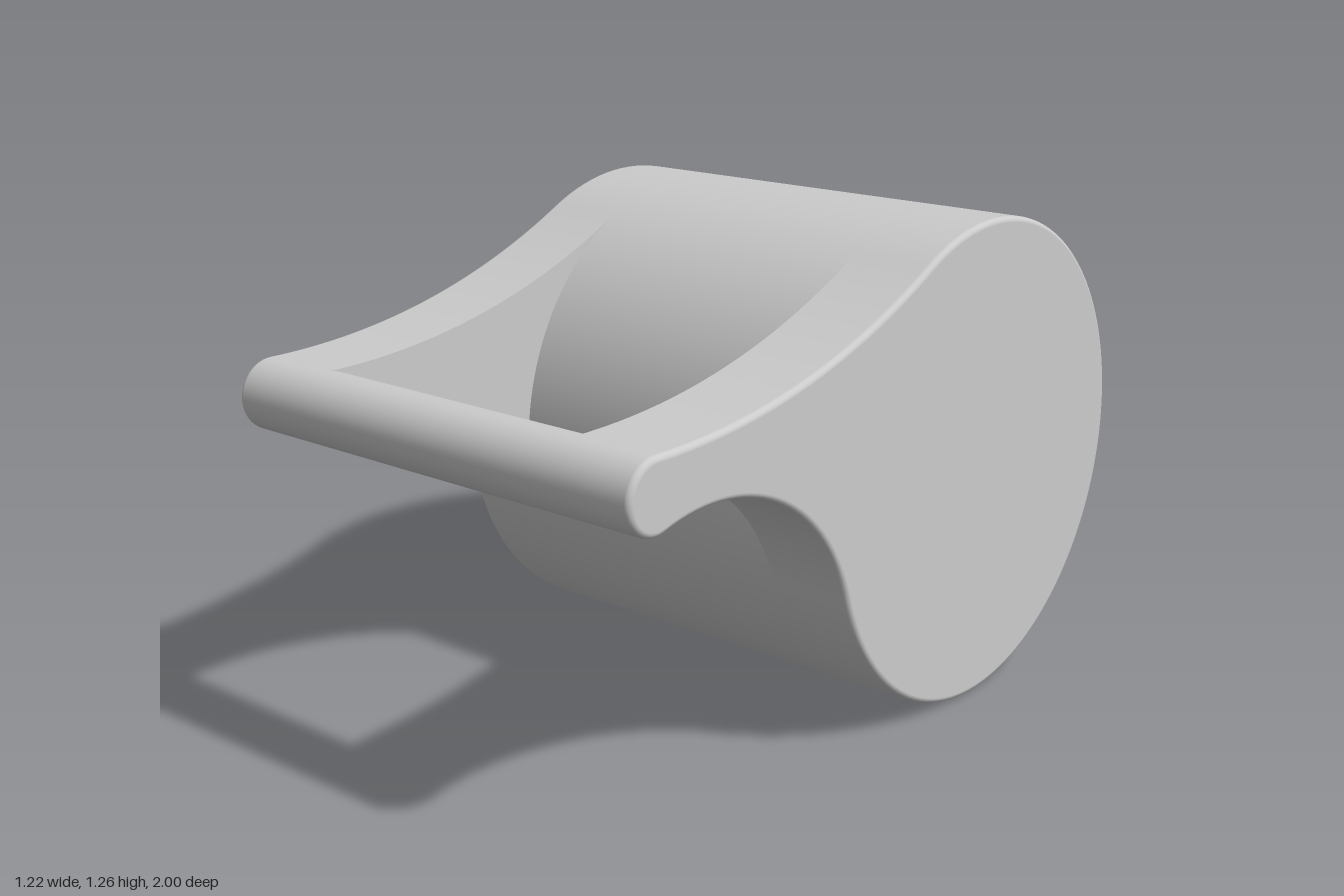
import * as THREE from 'three';

const HALF = 0.61, INNER = 0.39, BEVEL = 0.015;
// profile circles: u runs along z, v along y
const drum = { u: -0.37, v: 0.63, r: 0.63 };
const bar = { u: 0.912, v: 0.8875, r: 0.088 };

// circle of radius r touching both drum and bar from outside, above (+1) or below (-1)
function fillet(r, side) {
  const du = bar.u - drum.u, dv = bar.v - drum.v, d = Math.hypot(du, dv);
  const a = drum.r + r, b = bar.r + r;
  const along = (a * a - b * b + d * d) / (2 * d);
  const off = side * Math.sqrt(a * a - along * along);
  return { u: drum.u + (along * du - off * dv) / d, v: drum.v + (along * dv + off * du) / d, r };
}

const angle = (from, to) => Math.atan2(to.v - from.v, to.u - from.u);

// arc points with outward normals; the last point is left to the next arc
function arc(c, a0, a1, n, sign = 1) {
  return Array.from({ length: n }, (_, i) => {
    const a = a0 + (a1 - a0) * i / n, nu = Math.cos(a), nv = Math.sin(a);
    return { u: c.u + c.r * nu, v: c.v + c.r * nv, nu: sign * nu, nv: sign * nv };
  });
}

// skin a closed profile along x; each ring is [x, inset, tilt of normal towards +x]
function band(profile, rings) {
  const pos = [], nor = [], idx = [], n = profile.length;
  for (const [x, inset, tilt] of rings)
    for (const p of profile) {
      const c = Math.cos(tilt);
      pos.push(x, p.v - p.nv * inset, p.u - p.nu * inset);
      nor.push(Math.sin(tilt), p.nv * c, p.nu * c);
    }
  for (let j = 0; j < rings.length - 1; j++)
    for (let i = 0; i < n; i++) {
      const a = j * n + i, b = j * n + (i + 1) % n;
      idx.push(a, a + n, b, a + n, b + n, b);
    }
  const g = new THREE.BufferGeometry();
  g.setAttribute('position', new THREE.Float32BufferAttribute(pos, 3));
  g.setAttribute('normal', new THREE.Float32BufferAttribute(nor, 3));
  g.setIndex(idx);
  return g;
}

// flat face in the yz plane, facing -x
function face(profile, inset, x) {
  const pts = profile.map(p => new THREE.Vector2(p.u - p.nu * inset, p.v - p.nv * inset));
  return new THREE.ShapeGeometry(new THREE.Shape(pts)).rotateY(-Math.PI / 2).translate(x, 0, 0);
}

// mirror across x = 0, keeping faces outward
function mirrored(geometry) {
  const g = geometry.clone().scale(-1, 1, 1);
  g.setIndex(Array.from(g.index.array).reverse());
  return g;
}

export function createModel() {
  const group = new THREE.Group();
  const material = new THREE.MeshStandardMaterial({ color: 0xcccccc });
  const add = (name, geometry) => {
    const mesh = new THREE.Mesh(geometry, material);
    mesh.name = name;
    group.add(mesh);
  };

  const upper = fillet(2.05, 1), lower = fillet(0.546, -1);
  const drumTop = angle(drum, upper), drumLow = angle(drum, lower);
  const barTop = angle(bar, upper), barLow = angle(bar, lower);
  const TAU = Math.PI * 2;

  const upperCurve = arc(upper, barTop - Math.PI, drumTop - Math.PI, 32, -1);
  const lowerCurve = arc(lower, drumLow + Math.PI, barLow + Math.PI, 32, -1);
  const drumBack = arc(drum, drumTop, drumLow + TAU, 100);
  const barFront = arc(bar, barLow, barTop, 28);

  // teardrop side plates with rounded outer edges
  const outline = [...barFront, ...upperCurve, ...drumBack, ...lowerCurve];
  const rings = [[INNER, 0, 0]];
  for (let i = 0; i <= 5; i++) {
    const t = i / 5 * Math.PI / 2;
    rings.push([HALF - BEVEL + BEVEL * Math.sin(t), BEVEL * (1 - Math.cos(t)), t]);
  }
  const rim = band(outline, rings);
  const cap = face(outline, BEVEL, -HALF);
  add('leftArmRim', rim);
  add('rightArmRim', mirrored(rim));
  add('rightArmOuterFace', cap);
  add('leftArmOuterFace', mirrored(cap));

  // inner arm walls between drum and handle bar
  const web = [...upperCurve, ...arc(drum, drumTop, drumLow, 30),
    ...lowerCurve, ...arc(bar, barLow, barTop - TAU, 28)];
  const wall = face(web, 0, INNER);
  add('leftArmInnerWall', wall);
  add('rightArmInnerWall', mirrored(wall));

  // drum and handle bar spanning the gap
  const span = [[-INNER, 0, 0], [INNER, 0, 0]];
  add('drum', band([...drumBack, ...arc(drum, drumLow, drumTop, 30)], span));
  add('handleBar', band([...barFront, ...arc(bar, barTop, barLow + TAU, 28)], span));
  return group;
}
